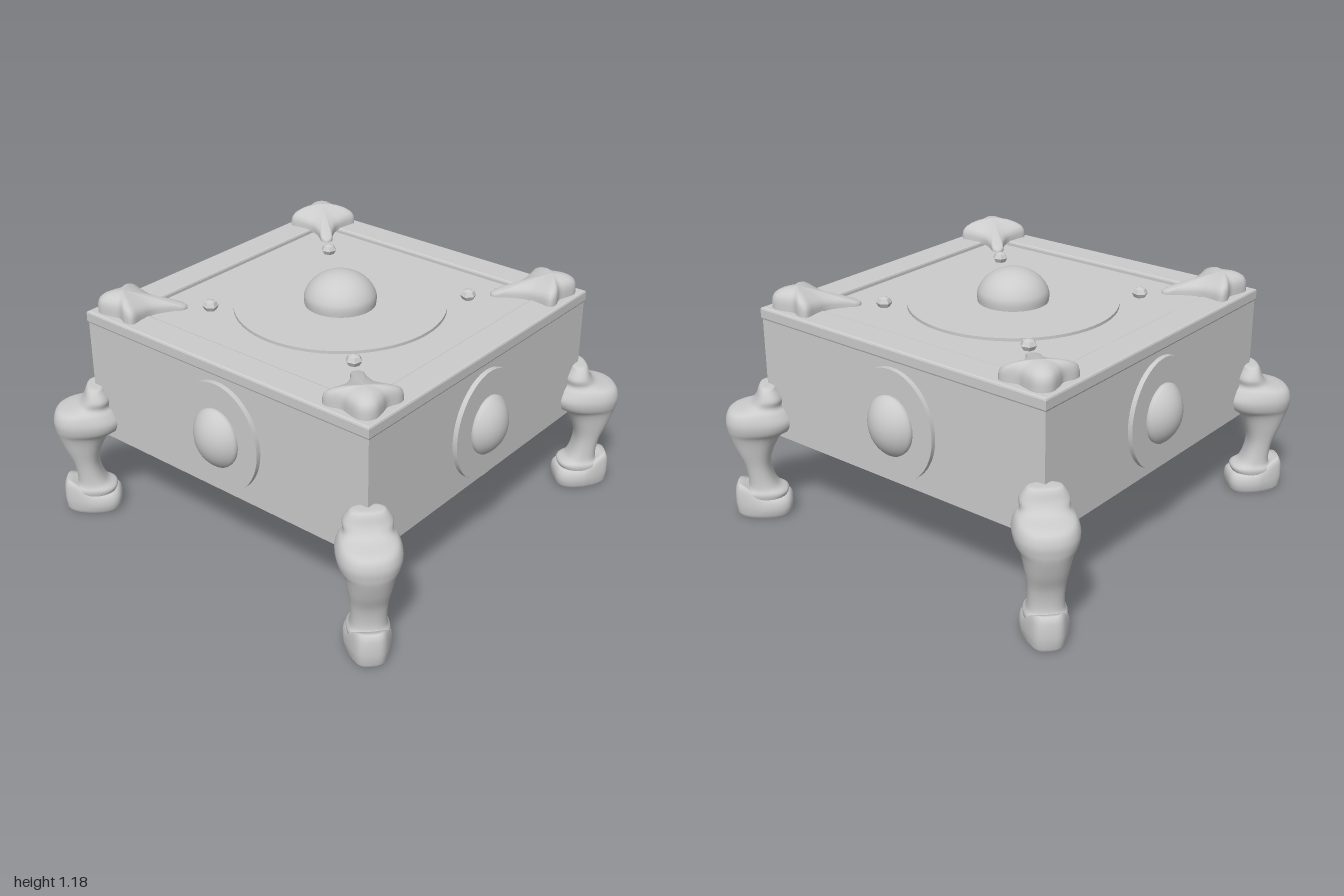
import * as THREE from 'three';

const mat = new THREE.MeshStandardMaterial({ color: 0xcccccc, roughness: 0.8 });

function add(parent, name, geo, x = 0, y = 0, z = 0) {
  const m = new THREE.Mesh(geo, mat);
  m.name = name;
  m.position.set(x, y, z);
  parent.add(m);
  return m;
}

// Skin a list of closed rings (equal point counts, stacked upward)
function loft(rings) {
  const n = rings[0].length, index = [];
  for (let j = 0; j < rings.length - 1; j++) {
    for (let i = 0; i < n; i++) {
      const a = j * n + i, b = j * n + (i + 1) % n;
      index.push(a, a + n, b, b, a + n, b + n);
    }
  }
  const g = new THREE.BufferGeometry().setFromPoints(rings.flat());
  g.setIndex(index);
  g.computeVertexNormals();
  return g;
}

// Rounded-square ring: centre d along the diagonal, half depth a, half width w
function ring(y, d, a, w, power) {
  return Array.from({ length: 32 }, (_, i) => {
    const t = (i / 32) * Math.PI * 2, c = Math.cos(t), s = Math.sin(t);
    return new THREE.Vector3(
      d + a * Math.sign(c) * Math.abs(c) ** (2 / power), y,
      w * Math.sign(s) * Math.abs(s) ** (2 / power));
  });
}

// Smooth the spacing of section rows [y, d, a, w] with a spline for each value
function smoothRows(rows, count) {
  const p = new THREE.CatmullRomCurve3(rows.map(r => new THREE.Vector3(r[0], r[1], r[2])));
  const q = new THREE.CatmullRomCurve3(rows.map(r => new THREE.Vector3(r[0], r[3], 0)));
  return Array.from({ length: count + 1 }, (_, i) => {
    const u = p.getPoint(i / count), v = q.getPoint(i / count);
    return [u.x, u.y, u.z, v.y];
  });
}

// Curved leg with a bulging knee, narrow shin and flared ankle
function legGeometry() {
  const rows = [
    [0.08, 1.19, 0.085, 0.085], [0.12, 1.19, 0.105, 0.092], [0.15, 1.2, 0.072, 0.08],
    [0.25, 1.22, 0.06, 0.078], [0.34, 1.228, 0.088, 0.092], [0.42, 1.218, 0.125, 0.11],
    [0.455, 1.195, 0.155, 0.13], [0.5, 1.187, 0.165, 0.138], [0.545, 1.188, 0.142, 0.125],
    [0.575, 1.155, 0.08, 0.103], [0.61, 1.14, 0.065, 0.105], [0.65, 1.145, 0.045, 0.083],
    [0.664, 1.145, 0.035, 0.068], [0.667, 1.145, 0.001, 0.001],
  ];
  return loft(smoothRows(rows, 56).map(r => ring(...r, 2.4)));
}

// Foot with a flat sole, narrowing to an upturned toe
function footGeometry() {
  const rows = [ // y, half depth, half width, toe lift
    [0, 0.001, 0.001, 0], [0, 0.118, 0.088, 0], [0, 0.118, 0.088, 0], [0.018, 0.13, 0.1, 0],
    [0.05, 0.135, 0.104, 0.02], [0.08, 0.132, 0.1, 0.055], [0.096, 0.118, 0.088, 0.07],
    [0.103, 0.09, 0.07, 0.06], [0.103, 0.001, 0.001, 0],
  ];
  return loft(rows.map(([y, a, w, lift]) => {
    const pts = ring(y, 1.203, a, w, 3.4);
    for (const p of pts) {
      const t = THREE.MathUtils.smoothstep(p.x, 1.18, 1.32);
      p.y += lift * t;
      p.z *= 1 - 0.25 * t;
    }
    return pts;
  }));
}

// Corner mount: lobed outline with a tail, swelling toward the corner
function mountGeometry() {
  const half = [[0.714, 0.025], [0.775, 0.035], [0.85, 0.062], [0.9, 0.115], [0.94, 0.163],
    [0.972, 0.145], [1.0, 0.092], [1.04, 0.068], [1.085, 0.036]];
  const pts = [[0.697, 0], ...half.map(([d, p]) => [d, -p]), [1.098, 0],
    ...half.slice().reverse()];
  const curve = new THREE.CatmullRomCurve3(pts.map(([d, p]) => new THREE.Vector3(d, 0, p)), true);
  const outline = curve.getPoints(80).slice(0, 80);
  const levels = [[1, 0], [1, 0.32], [0.97, 0.54], [0.89, 0.7], [0.75, 0.82],
    [0.55, 0.92], [0.3, 0.98], [0.002, 1]];
  const height = d => THREE.MathUtils.lerp(0.03, 0.1, THREE.MathUtils.clamp((d - 0.7) / 0.28, 0, 1));
  return loft(levels.map(([s, h]) => outline.map(p => {
    const x = 0.98 + (p.x - 0.98) * s;
    return new THREE.Vector3(x, 1.035 + h * height(x), p.z * s);
  })));
}

// Domed boss on a short band, base at y = 0; a larger start angle gives a shallower cap
function bossGeometry(r, band, h, start) {
  const pts = [new THREE.Vector2(r * 0.985, 0), new THREE.Vector2(r, band * 0.5)];
  for (let i = 0; i <= 14; i++) {
    const t = THREE.MathUtils.lerp(start, Math.PI / 2, i / 14);
    const rise = (Math.sin(t) - Math.sin(start)) / (1 - Math.sin(start));
    pts.push(new THREE.Vector2(r * Math.cos(t) / Math.cos(start), band + (h - band) * rise));
  }
  return new THREE.LatheGeometry(pts, 48);
}

function squarePath(path, s) {
  path.moveTo(-s, -s);
  path.lineTo(s, -s);
  path.lineTo(s, s);
  path.lineTo(-s, s);
  path.closePath();
  return path;
}

export function createModel() {
  const root = new THREE.Group();
  root.name = 'footedBox';

  // Box body
  add(root, 'body', new THREE.BoxGeometry(1.62, 0.575, 1.62), 0, 0.6975, 0);

  // Lid: raised frame around a sunken panel
  const frame = squarePath(new THREE.Shape(), 0.805);
  frame.holes.push(squarePath(new THREE.Path(), 0.674));
  const frameGeo = new THREE.ExtrudeGeometry(frame, {
    depth: 0.04, bevelEnabled: true, bevelThickness: 0.01, bevelSize: 0.01, bevelSegments: 2,
  });
  frameGeo.rotateX(-Math.PI / 2);
  add(root, 'lidFrame', frameGeo, 0, 0.99, 0);
  add(root, 'lidPanel', new THREE.BoxGeometry(1.4, 0.04, 1.4), 0, 0.997, 0);

  // Round plate and dome on the lid
  add(root, 'lidDisc', new THREE.CylinderGeometry(0.49, 0.49, 0.03, 64), 0, 1.016, 0);
  add(root, 'lidDome', bossGeometry(0.167, 0.04, 0.155, 0.2), 0, 1.03, 0);

  const leg = legGeometry(), foot = footGeometry(), mount = mountGeometry();
  const stud = new THREE.SphereGeometry(0.038, 6, 4).toNonIndexed();
  stud.scale(1, 0.75, 1);
  stud.computeVertexNormals();
  const plate = new THREE.CylinderGeometry(0.26, 0.26, 0.03, 64);
  const boss = bossGeometry(0.14, 0.02, 0.087, 0.6);

  for (let k = 0; k < 4; k++) {
    // Corner parts lie along the diagonal
    const corner = new THREE.Group();
    corner.name = 'corner' + (k + 1);
    corner.rotation.y = -Math.PI / 4 + k * Math.PI / 2;
    add(corner, 'leg', leg);
    add(corner, 'foot', foot);
    add(corner, 'cornerMount', mount);
    add(corner, 'stud', stud, 0.594, 1.042, 0);
    root.add(corner);

    // Oval medallion on each side
    const side = new THREE.Group();
    side.name = 'medallion' + (k + 1);
    side.rotation.y = k * Math.PI / 2;
    const face = new THREE.Group();
    face.name = 'medallionFace';
    face.position.set(0, 0.695, 0.81);
    face.rotation.x = Math.PI / 2;
    face.scale.x = 0.89;
    add(face, 'medallionPlate', plate, 0, 0.008, 0);
    add(face, 'medallionDome', boss, 0, 0.018, 0);
    side.add(face);
    root.add(side);
  }
  return root;
}
